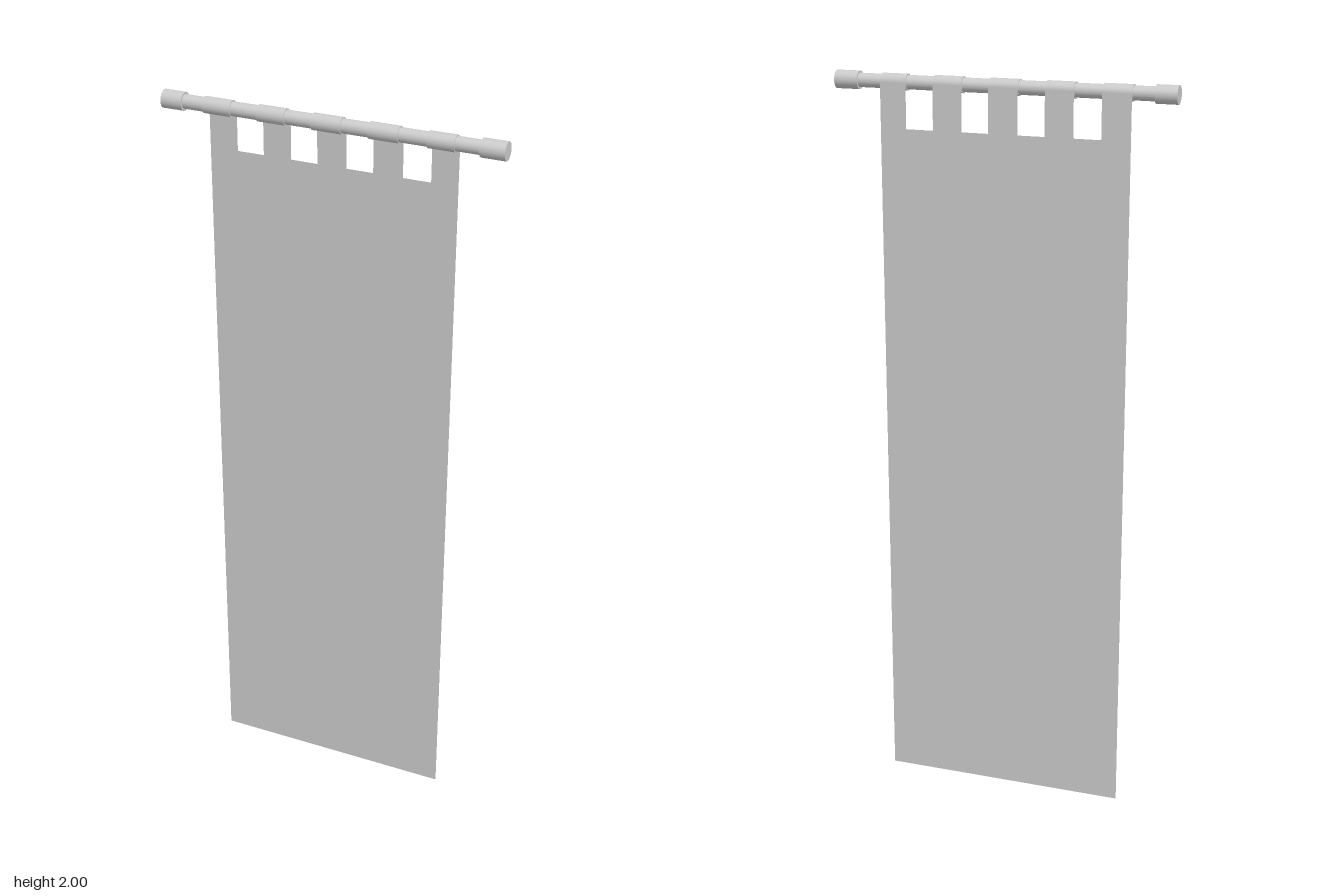
import * as THREE from 'three';

const POLE_Y = 1.976;

export function createModel() {
  const group = new THREE.Group();
  const metal = new THREE.MeshStandardMaterial({ color: 0xcccccc });
  const fabric = new THREE.MeshStandardMaterial({ color: 0xcccccc, side: THREE.DoubleSide });

  // Horizontal cylinder running from x0 to x1 along the pole axis
  function rod(name, x0, x1, radius, material) {
    const geometry = new THREE.CylinderGeometry(radius, radius, x1 - x0, 24);
    geometry.rotateZ(Math.PI / 2);
    const mesh = new THREE.Mesh(geometry, material);
    mesh.name = name;
    mesh.position.set((x0 + x1) / 2, POLE_Y, 0);
    group.add(mesh);
  }

  // Pole with a thicker cap at each end
  rod('pole', -0.45, 0.45, 0.0185, metal);
  rod('rightCap', -0.458, -0.4, 0.024, metal);
  rod('leftCap', 0.394, 0.458, 0.024, metal);

  // Fabric loops wrapped around the pole
  const tabs = [[-0.343, -0.266], [-0.193, -0.117], [-0.045, 0.034], [0.106, 0.185], [0.259, 0.33]];
  const loopRadius = 0.0215;
  tabs.forEach(([x0, x1]) => rod('tabLoop', x0, x1, loopRadius, fabric));

  // Thin cloth sheet with a crenellated top edge, hanging from the back of the loops
  const notchY = 1.858;
  const outline = new THREE.Shape();
  outline.moveTo(-0.343, 0);
  outline.lineTo(0.33, 0);
  [...tabs].reverse().forEach(([x0, x1], i) => {
    if (i > 0) outline.lineTo(x1, notchY);
    outline.lineTo(x1, POLE_Y);
    outline.lineTo(x0, POLE_Y);
    if (i < tabs.length - 1) outline.lineTo(x0, notchY);
  });
  outline.closePath();
  const cloth = new THREE.Mesh(new THREE.ShapeGeometry(outline), fabric);
  cloth.name = 'bannerCloth';
  cloth.position.z = -loopRadius;
  group.add(cloth);

  return group;
}
